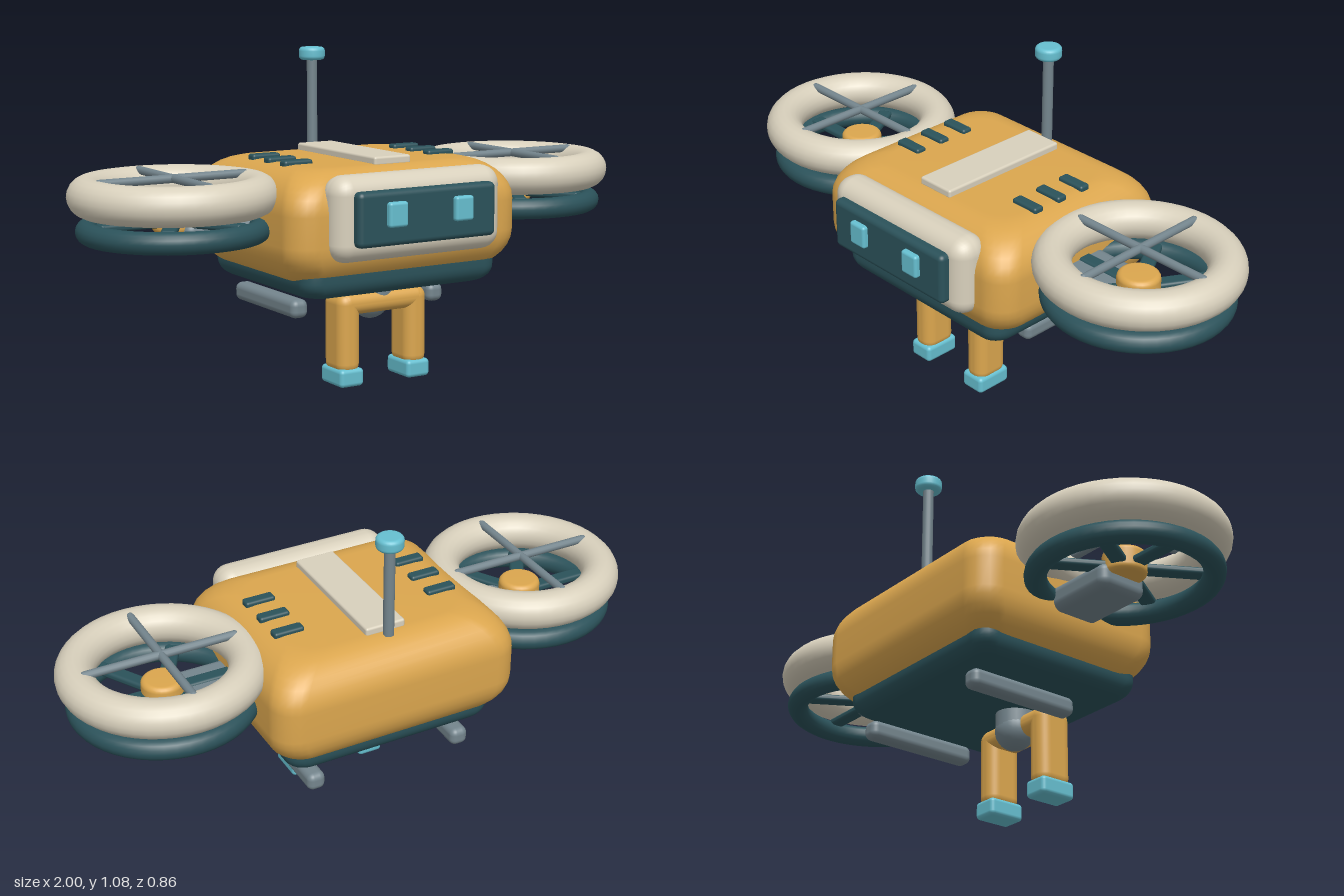
import * as THREE from 'three';
import { RoundedBoxGeometry } from 'three/addons/geometries/RoundedBoxGeometry.js';

const mat = (name, color) => {
  const m = new THREE.MeshStandardMaterial({ color });
  m.name = name;
  return m;
};

// Pillow-shaped hull: rounded-rectangle loops inset along a quarter-ellipse at top and bottom
function hullGeometry(hx, hz, corner, inset, yBottom, yLow, yHigh, yTop) {
  const pos = [], idx = [], steps = 8, arc = 6, n = 4 * (arc + 1);
  const levels = [];
  for (let i = 0; i <= steps; i++) {
    const a = (1 - i / steps) * Math.PI / 2;
    levels.push([yLow - (yLow - yBottom) * Math.sin(a), inset * (1 - Math.cos(a))]);
  }
  for (let i = 0; i <= steps; i++) {
    const a = (i / steps) * Math.PI / 2;
    levels.push([yHigh + (yTop - yHigh) * Math.sin(a), inset * (1 - Math.cos(a))]);
  }
  for (const [y, d] of levels) {
    for (let q = 0; q < 4; q++) {
      const sx = q === 0 || q === 3 ? 1 : -1, sz = q < 2 ? 1 : -1;
      for (let k = 0; k <= arc; k++) {
        const t = (q + k / arc) * Math.PI / 2;
        pos.push(sx * (hx - d - corner) + corner * Math.cos(t), y, sz * (hz - d - corner) + corner * Math.sin(t));
      }
    }
  }
  for (let i = 0; i < levels.length - 1; i++) {
    for (let j = 0; j < n; j++) {
      const a = i * n + j, b = i * n + (j + 1) % n, c = a + n, d = b + n;
      idx.push(a, c, b, b, c, d);
    }
  }
  const last = (levels.length - 1) * n, bottom = pos.length / 3, top = bottom + 1;
  pos.push(0, yBottom, 0, 0, yTop, 0);
  for (let j = 0; j < n; j++) {
    const k = (j + 1) % n;
    idx.push(bottom, j, k, top, last + k, last + j);
  }
  const g = new THREE.BufferGeometry();
  g.setAttribute('position', new THREE.Float32BufferAttribute(pos, 3));
  g.setIndex(idx);
  g.computeVertexNormals();
  return g;
}

// Disc with rounded rims, centred on y = 0
function softDisc(r, h, bevel) {
  const pts = [new THREE.Vector2(0, -h / 2)];
  for (let i = 0; i <= 5; i++) {
    const a = -Math.PI / 2 + (i / 5) * Math.PI / 2;
    pts.push(new THREE.Vector2(r - bevel + bevel * Math.cos(a), -h / 2 + bevel + bevel * Math.sin(a)));
  }
  for (let i = 0; i <= 5; i++) {
    const a = (i / 5) * Math.PI / 2;
    pts.push(new THREE.Vector2(r - bevel + bevel * Math.cos(a), h / 2 - bevel + bevel * Math.sin(a)));
  }
  pts.push(new THREE.Vector2(0, h / 2));
  return new THREE.LatheGeometry(pts, 28);
}

export function createModel() {
  const gold = mat('gold', 0xdba64e), cream = mat('cream', 0xd8d0bc), teal = mat('darkTeal', 0x2b525a);
  const grey = mat('slateGrey', 0x74858d), cyan = mat('cyan', 0x66bfd0);
  const model = new THREE.Group();
  model.name = 'twinRotorDrone';

  const add = (name, geo, material, x, y, z, parent = model) => {
    const m = new THREE.Mesh(geo, material);
    m.name = name;
    m.position.set(x, y, z);
    parent.add(m);
    return m;
  };
  const box = (name, material, w, h, d, r, x, y, z, parent) =>
    add(name, new RoundedBoxGeometry(w, h, d, 4, r), material, x, y, z, parent);

  // Hull and belly
  add('body', hullGeometry(0.435, 0.375, 0.09, 0.14, 0.36, 0.5, 0.6, 0.735), gold, 0, 0, -0.055);
  add('belly', hullGeometry(0.37, 0.325, 0.06, 0.05, 0.325, 0.38, 0.4, 0.45), teal, 0, 0, -0.045);

  // Face
  box('faceFrame', cream, 0.635, 0.275, 0.13, 0.06, 0, 0.588, 0.31);
  box('screen', teal, 0.52, 0.175, 0.06, 0.018, 0, 0.592, 0.377);

  // Roof strip and antenna
  box('roofStrip', cream, 0.14, 0.03, 0.495, 0.008, 0, 0.743, -0.052);
  add('antennaMast', new THREE.CylinderGeometry(0.018, 0.018, 0.32, 16), grey, 0, 0.89, -0.316);
  add('antennaTip', softDisc(0.045, 0.045, 0.014), cyan, 0, 1.062, -0.316);

  // Hip joint
  const post = add('hipPost', softDisc(0.067, 0.1, 0.015), grey, 0, 0.31, 0.07);
  post.scale.z = 1.2;
  add('hipBall', new THREE.SphereGeometry(0.066, 24, 16), grey, 0, 0.266, 0.055);
  box('hipBar', gold, 0.33, 0.075, 0.125, 0.035, 0, 0.272, 0.092);

  for (const s of [1, -1]) {
    const side = s > 0 ? 'left' : 'right';
    box(side + 'Eye', cyan, 0.07, 0.08, 0.03, 0.01, s * 0.125, 0.605, 0.411);

    // Roof vents
    for (const z of [-0.16, -0.055, 0.05])
      box(side + 'Vent', teal, 0.105, 0.025, 0.04, 0.009, s * 0.277, 0.736, z);

    // Legs, feet and skids
    box(side + 'Leg', gold, 0.083, 0.27, 0.125, 0.036, s * 0.13, 0.173, 0.092);
    box(side + 'Foot', cyan, 0.09, 0.06, 0.132, 0.014, s * 0.13, 0.03, 0.093);
    box(side + 'Skid', grey, 0.062, 0.062, 0.405, 0.022, s * 0.267, 0.257, -0.142);

    // Rotor pod
    const rotor = new THREE.Group();
    rotor.name = side + 'Rotor';
    rotor.position.set(s * 0.665, 0, -0.052);
    model.add(rotor);
    box('rotorArm', grey, 0.3, 0.085, 0.18, 0.03, s * -0.15, 0.528, 0, rotor);
    add('upperRing', new THREE.TorusGeometry(0.272, 0.063, 20, 48).rotateX(Math.PI / 2), cream, 0, 0.652, 0, rotor);
    add('lowerRing', new THREE.TorusGeometry(0.274, 0.036, 16, 48).rotateX(Math.PI / 2), teal, 0, 0.541, 0, rotor);
    add('hub', softDisc(0.07, 0.085, 0.018), gold, 0, 0.575, 0, rotor);
    for (let i = 0; i < 3; i++)
      box('blade', teal, 0.52, 0.025, 0.05, 0.01, 0, 0.565, 0, rotor).rotation.y = i * Math.PI / 3;
    for (let i = 0; i < 2; i++)
      add('guardBar', new THREE.CapsuleGeometry(0.014, 0.506, 4, 12).rotateZ(Math.PI / 2), grey, 0, 0.703, 0, rotor)
        .rotation.y = i * Math.PI / 2;
  }
  return model;
}
